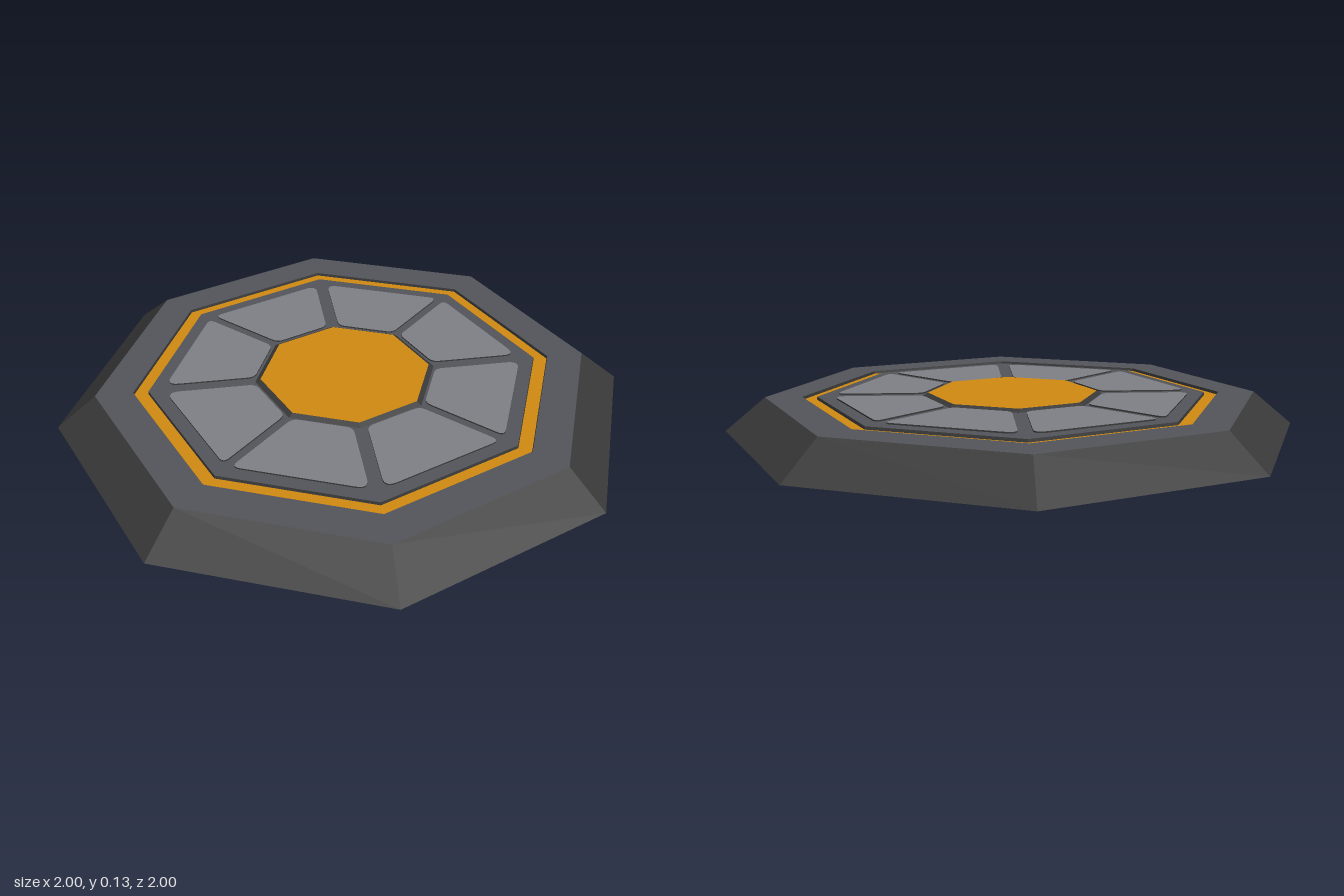
import * as THREE from 'three';

const paint = (name, color) => {
  const m = new THREE.MeshStandardMaterial({ color });
  m.name = name;
  return m;
};

export function createModel() {
  const dark = paint('dark metal', 0x393939);
  const deckGrey = paint('deck grey', 0x54555b);
  const padGrey = paint('pad grey', 0x7f7f86);
  const amber = paint('amber', 0xd08a10);

  const group = new THREE.Group();
  group.name = 'octagonalPlatform';
  const DECK = 0.117, FLOOR = 0.107, HUB = 0.127, PAD = 0.122;

  // Eight-sided band through [radius, height] pairs, with crisp facets
  const band = (name, material, points) => {
    const profile = points.map(([r, y]) => new THREE.Vector2(r, y));
    const geo = new THREE.LatheGeometry(profile, 8).toNonIndexed();
    geo.computeVertexNormals();
    const mesh = new THREE.Mesh(geo, material);
    mesh.name = name;
    group.add(mesh);
  };

  // Base with sloping sides, and the deck on top
  band('underside', dark, [[0, 0], [1, 0]]);
  band('slopedSides', dark, [[1, 0], [0.86, DECK]]);
  band('outerDeck', deckGrey, [[0.86, DECK], [0.732, DECK]]);
  band('innerDeck', deckGrey, [[0.68, DECK], [0.315, DECK]]);

  // Sunken light strip
  band('grooveOuterWall', dark, [[0.732, DECK], [0.73, FLOOR]]);
  band('lightStrip', amber, [[0.73, FLOOR], [0.682, FLOOR]]);
  band('grooveInnerWall', dark, [[0.682, FLOOR], [0.68, DECK]]);

  // Raised central hub
  band('hubRim', dark, [[0.315, DECK], [0.297, HUB]]);
  band('hubPanel', amber, [[0.297, HUB], [0, HUB]]);

  // Rounded pad outline for the sector between +x and the diagonal
  const c = Math.cos(Math.PI / 8), s = Math.sin(Math.PI / 8);
  const axisGap = 0.016, diagonalGap = 0.023 * Math.SQRT2;
  const onAxis = (a) => new THREE.Vector2((a - axisGap * s) / c, axisGap);
  const onDiagonal = (a) => {
    const x = (a + diagonalGap * s) / (c + s);
    return new THREE.Vector2(x, x - diagonalGap);
  };
  const corners = [onAxis(0.3), onAxis(0.582), onDiagonal(0.582), onDiagonal(0.3)];
  const radii = [0.025, 0.03, 0.045, 0.025];
  const outline = new THREE.Shape();
  corners.forEach((p, i) => {
    const toward = (q) => q.clone().sub(p).setLength(radii[i]).add(p);
    const a = toward(corners[(i + 3) % 4]), b = toward(corners[(i + 1) % 4]);
    if (i === 0) outline.moveTo(a.x, a.y);
    else outline.lineTo(a.x, a.y);
    outline.quadraticCurveTo(p.x, p.y, b.x, b.y);
  });
  outline.closePath();

  const padGeo = new THREE.ExtrudeGeometry(outline, {
    depth: PAD - DECK + 0.002, bevelEnabled: false, curveSegments: 6,
  });
  padGeo.rotateX(-Math.PI / 2).translate(0, DECK - 0.002, 0);
  const mirrored = padGeo.clone().rotateX(Math.PI).translate(0, PAD + DECK - 0.002, 0);

  // Eight pads: each quarter holds one and its mirror image
  for (let i = 0; i < 4; i++) {
    for (const geo of [padGeo, mirrored]) {
      const pad = new THREE.Mesh(geo, [padGrey, dark]);
      pad.name = 'floorPad';
      pad.rotation.y = (i * Math.PI) / 2;
      group.add(pad);
    }
  }
  return group;
}
